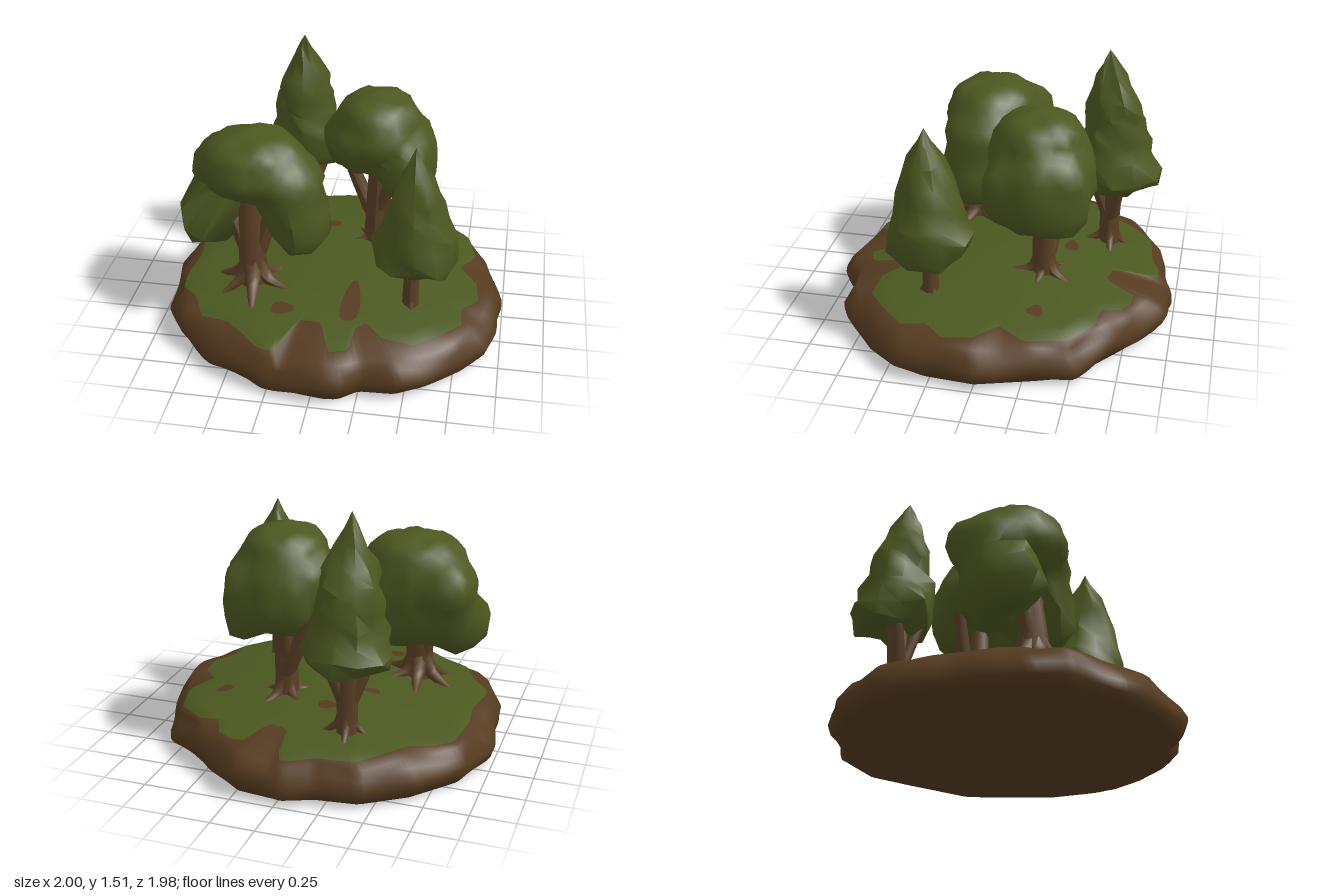
import * as THREE from 'three';
import { mergeVertices, toCreasedNormals } from 'three/addons/utils/BufferGeometryUtils.js';

const mat = (name, color) => Object.assign(new THREE.MeshStandardMaterial({ color }), { name });

// Seeded random numbers
function seeded(seed) {
  let s = seed * 7919 + 17;
  return () => (s = (s * 16807) % 2147483647) / 2147483647;
}

// Radius of a closed straight-sided outline of [x, z] points as a function of angle
function polar(points) {
  const list = points.map(([x, z]) => [Math.atan2(z, x), Math.hypot(x, z)]).sort((a, b) => a[0] - b[0]);
  const first = list[0], last = list[list.length - 1];
  list.unshift([last[0] - 2 * Math.PI, last[1]]);
  list.push([first[0] + 2 * Math.PI, first[1]]);
  return (angle) => {
    const a = Math.atan2(Math.sin(angle), Math.cos(angle));
    let i = 1;
    while (i < list.length - 1 && list[i][0] < a) i++;
    const [a0, r0] = list[i - 1], [a1, r1] = list[i];
    return r0 * r1 * Math.sin(a1 - a0) / (r0 * Math.sin(a - a0) + r1 * Math.sin(a1 - a));
  };
}

const rimRadius = polar([
  [-.03, -1], [.25, -.97], [.5, -.79], [.83, -.53], [.9, -.33], [1, 0], [.98, .3], [.93, .45], [.8, .63],
  [.6, .81], [.48, .88], [.27, .89], [.16, .98], [.08, .99], [-.28, .94], [-.6, .78], [-.84, .57],
  [-.94, .37], [-1, -.13], [-.92, -.47], [-.7, -.73], [-.45, -.9], [-.2, -.93]]);
const grassRadius = polar([
  [.02, -.9], [.05, -.64], [.17, -.61], [.24, -.78], [.33, -.78], [.42, -.73], [.47, -.62], [.62, -.61],
  [.75, -.52], [.82, -.25], [.73, -.1], [.84, .03], [.86, .2], [.77, .3], [.78, .45], [.66, .58],
  [.53, .69], [.35, .67], [.26, .57], [.2, .63], [.19, .79], [.08, .82], [.01, .61], [-.12, .61],
  [-.19, .84], [-.3, .85], [-.4, .75], [-.52, .65], [-.68, .6], [-.76, .42], [-.88, .3], [-.84, 0],
  [-.86, -.15], [-.83, -.4], [-.74, -.5], [-.62, -.57], [-.5, -.72], [-.35, -.86], [-.2, -.89]]);

// Height of the domed ground, with a low rise behind the middle
const ground = (x, z) => 0.33 - 0.12 * Math.pow(Math.hypot(x, z), 2.2)
  + 0.008 * Math.sin(5 * x + 1) * Math.cos(4 * z)
  + 0.015 * Math.exp(-((x + .22) ** 2 + (z + .2) ** 2) / 0.08);

// Island: rings from the middle of the grass, over the rim, to the middle of the base
function islandGeometry() {
  const N = 180, G = 9;
  const sides = [[.93, .215], [.97, .17], [1, .11], [.99, .055], [.94, .01], [.5, 0], [0, 0]];
  const rows = G + 1 + sides.length, pos = [], index = [];
  for (let i = 0; i < rows; i++) for (let j = 0; j < N; j++) {
    const t = j / N * 2 * Math.PI, rim = rimRadius(t), g = Math.min(grassRadius(t), rim * 0.91);
    let r, y;
    if (i <= G) r = g * i / G;
    else {
      const [s, h] = sides[i - G - 1];
      r = rim * s;
      y = h;
      if (h > 0.05) {
        r *= 0.995 + 0.01 * Math.sin(t * 11 + h * 30);
        y += 0.012 * Math.sin(t * 5 + 1) + 0.01 * Math.sin(t * 13);
      }
    }
    const x = r * Math.cos(t), z = r * Math.sin(t);
    pos.push(x, i <= G ? ground(x, z) : y, z);
  }
  for (let i = 0; i < rows - 1; i++) for (let j = 0; j < N; j++) {
    const k = (j + 1) % N, a = i * N + j, b = a + N, c = (i + 1) * N + k, d = i * N + k;
    index.push(a, d, b, b, d, c);
  }
  const geo = new THREE.BufferGeometry();
  geo.setAttribute('position', new THREE.Float32BufferAttribute(pos, 3));
  geo.setIndex(index);
  geo.addGroup(0, G * N * 6, 0);
  geo.addGroup(G * N * 6, index.length - G * N * 6, 1);
  geo.computeVertexNormals();
  return geo;
}

// Bare patch draped on the ground
function patchGeometry(cx, cz, rx, rz) {
  const geo = new THREE.RingGeometry(0, 1, 18, 4), p = geo.attributes.position;
  for (let i = 0; i < p.count; i++) {
    const t = Math.atan2(p.getY(i), p.getX(i)), w = 1 + 0.12 * Math.sin(3 * t + cx * 20);
    const x = cx + p.getX(i) * rx * w, z = cz - p.getY(i) * rz * w;
    p.setXYZ(i, x, ground(x, z) + 0.004, z);
  }
  geo.computeVertexNormals();
  return geo;
}

// Tapering limb along a curve
function limbGeometry(points, r0, r1, sides = 8) {
  const curve = new THREE.CatmullRomCurve3(points.map((p) => new THREE.Vector3(...p)));
  const n = 6, geo = new THREE.TubeGeometry(curve, n, 1, sides), p = geo.attributes.position;
  const v = new THREE.Vector3();
  for (let i = 0; i < p.count; i++) {
    const t = Math.floor(i / (sides + 1)) / n, c = curve.getPointAt(t);
    v.fromBufferAttribute(p, i).sub(c).multiplyScalar(r0 + (r1 - r0) * t).add(c);
    p.setXYZ(i, v.x, v.y, v.z);
  }
  geo.computeVertexNormals();
  return geo;
}

// Merge shared corners, shift each one, then crease the sharper edges
function roughen(geo, move) {
  geo.deleteAttribute('normal');
  geo.deleteAttribute('uv');
  const g = mergeVertices(geo, 1e-4), p = g.attributes.position, v = new THREE.Vector3();
  for (let i = 0; i < p.count; i++) {
    move(v.fromBufferAttribute(p, i));
    p.setXYZ(i, v.x, v.y, v.z);
  }
  return toCreasedNormals(g, 0.95);
}

// One lumpy skin stretched around several ellipsoid clumps, seen from the middle of the first
function crownGeometry(clumps, seed) {
  const rand = seeded(seed), origin = new THREE.Vector3(...clumps[0][0]);
  const shapes = clumps.map(([c, r]) => {
    const radii = new THREE.Vector3(...r);
    return { radii, p: origin.clone().sub(new THREE.Vector3(...c)).divide(radii) };
  });
  const q = new THREE.Vector3();
  return roughen(new THREE.IcosahedronGeometry(1, 5), (v) => {
    let far = 0;
    for (const { radii, p } of shapes) {
      q.copy(v).divide(radii);
      const a = q.dot(q), b = p.dot(q), disc = b * b - a * (p.dot(p) - 1);
      if (disc > 0) far = Math.max(far, (Math.sqrt(disc) - b) / a);
    }
    const lump = 0.03 * Math.sin(7 * v.x + seed) * Math.cos(6 * v.z) + 0.02 * Math.sin(9 * v.y + seed);
    v.multiplyScalar(far * (1 + lump + (rand() - 0.5) * 0.06)).add(origin);
  });
}

// Ragged conical foliage from a bottom-to-top profile, its tip leaning by leanX and leanZ
function coneGeometry(profile, [x, z], [leanX, leanZ], seed) {
  const rand = seeded(seed), y0 = profile[0][1], height = profile[profile.length - 1][1] - y0;
  const geo = new THREE.LatheGeometry(profile.map(([r, y]) => new THREE.Vector2(r, y)), 12);
  return roughen(geo, (v) => {
    const r = Math.hypot(v.x, v.z), s = 1 + (rand() - 0.5) * 0.28, t = (v.y - y0) / height;
    v.set(x + v.x * s + leanX * t, v.y + (r > 0.02 ? (rand() - 0.5) * 0.05 : 0), z + v.z * s + leanZ * t);
  });
}

export function createModel() {
  const grass = mat('grass', 0x4a5820), leaves = mat('leaves', 0x4c5720);
  const soil = mat('soil', 0x553b20), bark = mat('bark', 0x5a4025);
  const model = new THREE.Group();
  model.name = 'woodedIsland';
  const add = (parent, name, geo, material) => {
    const mesh = new THREE.Mesh(geo, material);
    mesh.name = name;
    parent.add(mesh);
  };

  add(model, 'island', islandGeometry(), [grass, soil]);
  for (const p of [[.15, .43, .055, .17], [-.23, .53, .065, .05], [-.28, -.13, .05, .03],
    [.58, -.27, .045, .045], [-.09, -.37, .06, .04]]) add(model, 'barePatch', patchGeometry(...p), soil);

  // Trunk, branches and spreading roots shared by all trees
  function tree(name, { x, z, top, radius, topRadius, roots, reach, branches = [] }) {
    const group = new THREE.Group();
    group.name = name;
    model.add(group);
    add(group, 'trunk', limbGeometry([[x, .26, z], [x, .45, z], top], radius, topRadius, 9), bark);
    for (const [pts, r] of branches) add(group, 'branch', limbGeometry(pts, r, r * 0.6), bark);
    for (let i = 0; i < roots; i++) {
      const a = i / roots * 2 * Math.PI + 1.4, at = (d, h) => {
        const px = x + d * Math.cos(a), pz = z + d * Math.sin(a);
        return [px, h === undefined ? ground(px, pz) - 0.015 : h, pz];
      };
      const len = reach * (0.85 + 0.15 * Math.sin(i * 4 + 1.5));
      add(group, 'root', limbGeometry([at(.01, .46), at(len * 0.36, .335), at(len)], radius * 0.7, 0.012, 6), bark);
    }
    return group;
  }

  // Broad tree at the front left, with an open front below its crown
  const broadLeft = tree('broadTreeLeft', {
    x: -.45, z: .27, top: [-.46, .88, .22], radius: .085, topRadius: .07, roots: 6, reach: .29,
    branches: [[[[-.45, .42, .26], [-.53, .62, .24], [-.63, .88, .18]], .06],
      [[[-.45, .42, .26], [-.38, .62, .26], [-.27, .9, .24]], .06]],
  });
  add(broadLeft, 'crown', crownGeometry([
    [[-.44, 1.02, .18], [.31, .21, .28]], [[-.7, .71, .2], [.2, .185, .23]], [[-.65, .95, .07], [.17, .18, .22]],
    [[-.18, .72, .24], [.18, .19, .22]], [[-.24, .93, .2], [.19, .19, .24]], [[-.43, .83, .04], [.33, .25, .17]],
  ], 3), leaves);

  // Broad tree at the back right
  const broadRight = tree('broadTreeRight', {
    x: .2, z: -.25, top: [.22, .95, -.25], radius: .07, topRadius: .06, roots: 5, reach: .2,
    branches: [[[[.2, .45, -.27], [.1, .65, -.3], [-.01, .92, -.3]], .055],
      [[[.2, .5, -.25], [.28, .72, -.2], [.36, .88, -.15]], .05],
      [[[.2, .5, -.25], [.18, .7, -.33], [.18, .88, -.4]], .045]],
  });
  add(broadRight, 'crown', crownGeometry([
    [[.21, 1.08, -.22], [.27, .25, .28]], [[.38, .91, -.25], [.17, .27, .29]], [[.05, 1.02, -.24], [.16, .17, .22]],
    [[.38, .92, -.06], [.15, .17, .14]], [[.22, .94, -.4], [.25, .22, .14]], [[.13, 1.03, -.08], [.17, .14, .14]],
  ], 8), leaves);

  // Tall pointed tree at the back left
  const tall = tree('pointedTreeBack', {
    x: -.27, z: -.57, top: [-.28, .85, -.59], radius: .06, topRadius: .06, roots: 4, reach: .14,
    branches: [[[[-.27, .44, -.57], [-.34, .6, -.55], [-.42, .8, -.53]], .05],
      [[[-.27, .44, -.57], [-.21, .6, -.6], [-.13, .8, -.65]], .05],
      [[[-.27, .44, -.57], [-.25, .6, -.51], [-.23, .8, -.44]], .045]],
  });
  add(tall, 'foliage', coneGeometry([[0, .72], [.13, .67], [.22, .71], [.25, .78], [.22, .87], [.205, .95],
    [.18, 1.02], [.165, 1.1], [.165, 1.17], [.14, 1.24], [.085, 1.34], [.035, 1.44], [0, 1.515]],
  [-.28, -.61], [0, .08], 5), leaves);

  // Small pointed tree at the front right
  const small = tree('pointedTreeFront', {
    x: .48, z: .35, top: [.48, .65, .35], radius: .048, topRadius: .04, roots: 3, reach: .06,
  });
  add(small, 'foliage', coneGeometry([[0, .57], [.17, .53], [.23, .59], [.24, .7], [.2, .79], [.17, .88],
    [.14, .98], [.1, 1.1], [.035, 1.2], [0, 1.29]], [.51, .335], [-.03, .025], 9), leaves);

  return model;
}
